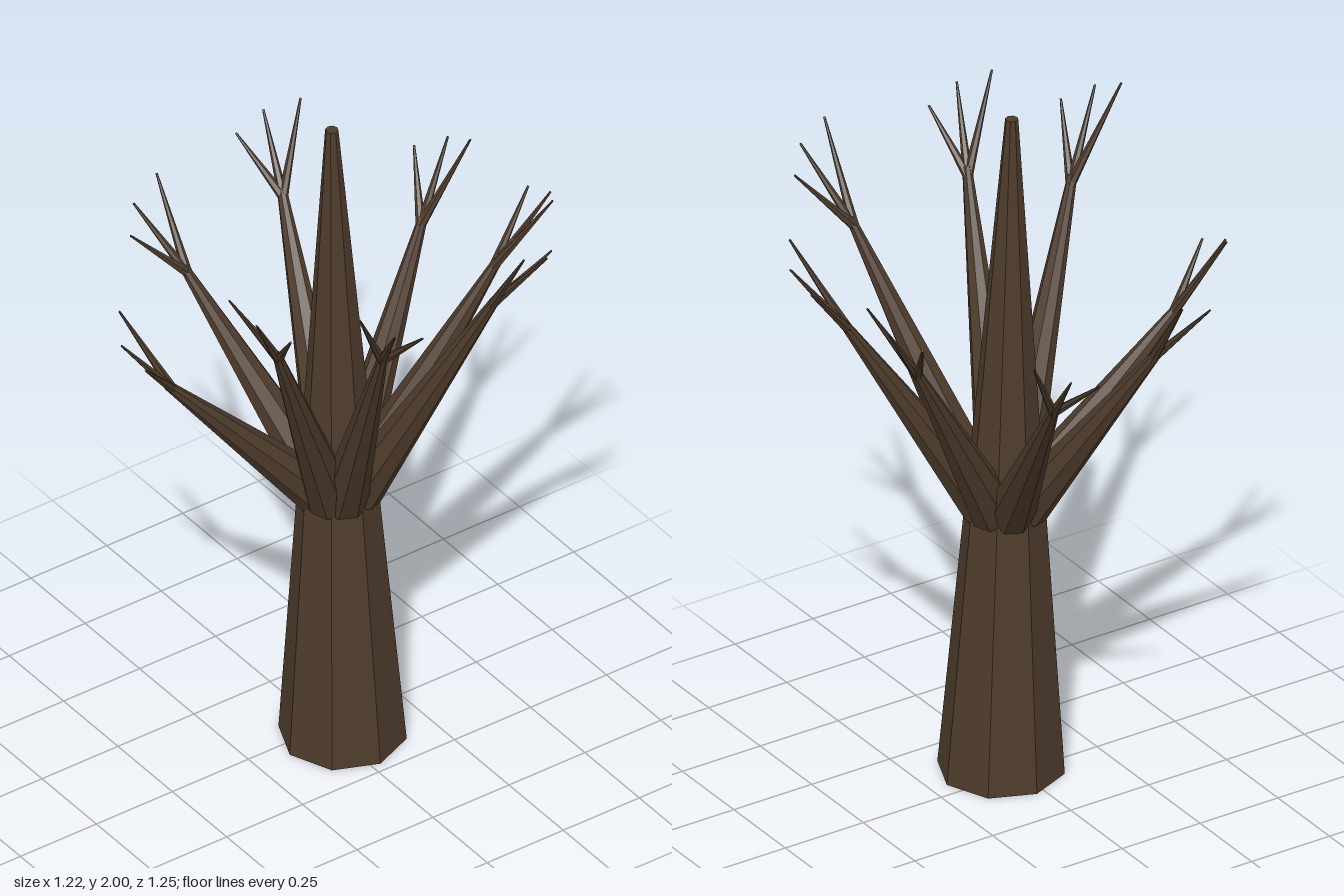
import * as THREE from 'three';

const bark = new THREE.MeshStandardMaterial({ color: 0x4d3b2b, flatShading: true });
const UP = new THREE.Vector3(0, 1, 0);

// Each limb: fork point, then its three twig tips
const LIMBS = [
  [[0.21, 1.41, -0.49], [0.16, 1.53, -0.63], [0.25, 1.57, -0.63], [0.33, 1.61, -0.57]],
  [[-0.2, 1.4, -0.37], [-0.33, 1.52, -0.43], [-0.27, 1.56, -0.5], [-0.18, 1.61, -0.52]],
  [[0.425, 1.43, -0.14], [0.485, 1.57, -0.265], [0.55, 1.61, -0.2], [0.56, 1.65, -0.11]],
  [[0.46, 1.45, 0.155], [0.6, 1.605, 0.1], [0.605, 1.64, 0.195], [0.555, 1.68, 0.275]],
  [[0.255, 1.58, 0.435], [0.39, 1.72, 0.5], [0.325, 1.765, 0.57], [0.235, 1.81, 0.59]],
  [[-0.15, 1.59, 0.48], [-0.28, 1.81, 0.555], [-0.21, 1.765, 0.62], [-0.12, 1.72, 0.62]],
  [[-0.37, 1.58, 0.3], [-0.52, 1.82, 0.29], [-0.495, 1.78, 0.38], [-0.425, 1.73, 0.44]],
  [[-0.475, 1.31, -0.055], [-0.56, 1.53, -0.16], [-0.61, 1.485, -0.08], [-0.595, 1.45, 0.01]],
];

// Tapered limb from a to b
function limb(name, a, b, r0, r1, sides) {
  const dir = b.clone().sub(a);
  const mesh = new THREE.Mesh(new THREE.CylinderGeometry(r1, r0, dir.length(), sides), bark);
  mesh.position.copy(a).add(b).multiplyScalar(0.5);
  mesh.quaternion.setFromUnitVectors(UP, dir.normalize());
  mesh.name = name;
  return mesh;
}

export function createModel() {
  const tree = new THREE.Group();
  tree.name = 'bareTree';

  // Trunk: octagonal taper, sheared so it leans while both ends stay level
  const foot = new THREE.Vector3(0.026, 0, 0.048);
  const top = new THREE.Vector3(0.009, 2, 0.022);
  const geo = new THREE.CylinderGeometry(0.018, 0.174, 2, 8);
  geo.translate(0, 1, 0);
  const p = geo.attributes.position;
  for (let i = 0; i < p.count; i++) {
    const c = foot.clone().lerp(top, p.getY(i) / 2);
    p.setX(i, p.getX(i) + c.x);
    p.setZ(i, p.getZ(i) + c.z);
  }
  geo.computeVertexNormals();
  const trunk = new THREE.Mesh(geo, bark);
  trunk.name = 'trunk';
  tree.add(trunk);

  // Ring of branches, each ending in three twigs
  const crown = foot.clone().lerp(top, 0.41);
  LIMBS.forEach((points) => {
    const [fork, ...tips] = points.map((q) => new THREE.Vector3(...q));
    const out = fork.clone().sub(crown).setY(0).normalize();
    const base = crown.clone().addScaledVector(out, 0.06);
    const branch = new THREE.Group();
    branch.name = 'branch';
    branch.add(limb('bough', base, fork, 0.067, 0.013, 8));
    const start = fork.clone().lerp(base, 0.03);
    tips.forEach((tip) => branch.add(limb('twig', start, tip, 0.014, 0.003, 6)));
    tree.add(branch);
  });
  return tree;
}
